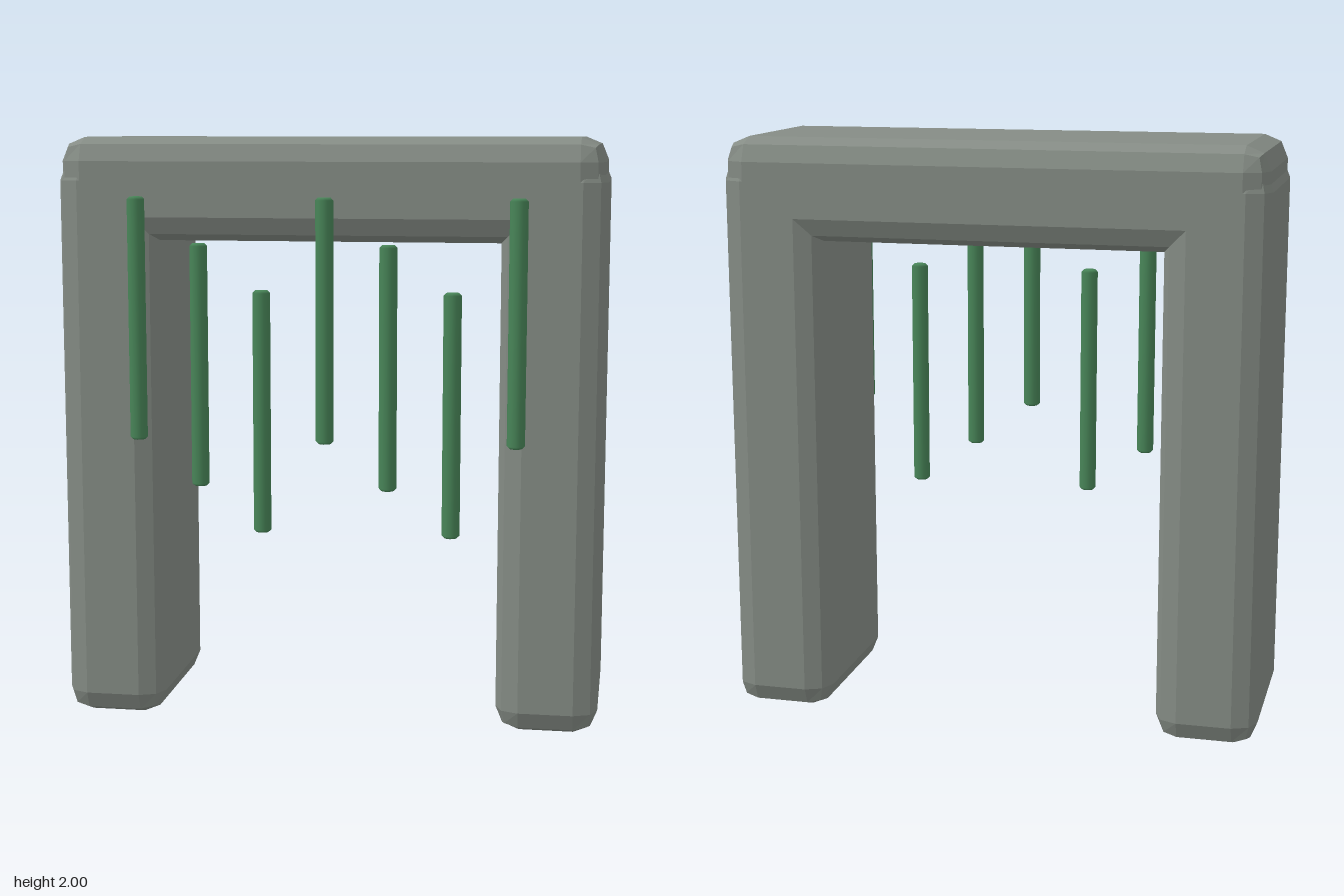
import * as THREE from 'three';
import { RoundedBoxGeometry } from 'three/addons/geometries/RoundedBoxGeometry.js';

export function createModel() {
  const model = new THREE.Group();
  model.name = 'stoneArch';
  const stone = new THREE.MeshStandardMaterial({ color: 0x858c85, flatShading: true });
  const leaf = new THREE.MeshStandardMaterial({ color: 0x488558 });

  const depth = 0.67, midZ = -0.03, bevel = 0.08;

  // Bevelled stone block spanning y0..y1
  function block(name, width, y0, y1, x) {
    const mesh = new THREE.Mesh(new RoundedBoxGeometry(width, y1 - y0, depth, 1, bevel), stone);
    mesh.position.set(x, (y0 + y1) / 2, midZ);
    mesh.name = name;
    model.add(mesh);
  }

  // Two pillars and the lintel that caps them
  block('leftPillar', 0.345, 0, 1.935, 0.75);
  block('rightPillar', 0.345, 0, 1.935, -0.75);
  block('lintel', 1.825, 1.655, 2, 0);

  // Hanging vines: slim rods with chamfered ends, stepping down in threes
  const length = 0.815, r = 0.03, c = 0.009;
  const profile = [[0, 0], [r - c, 0], [r, c], [r, length - c], [r - c, length], [0, length]]
    .map(([px, py]) => new THREE.Vector2(px, py));
  const vineGeometry = new THREE.LatheGeometry(profile, 12);
  const vines = new THREE.Group();
  vines.name = 'vines';
  for (let i = 0; i < 7; i++) {
    const vine = new THREE.Mesh(vineGeometry, leaf);
    vine.position.set(0.005 + (i - 3) * 0.212, 0.99 - (i % 3) * 0.153, 0.335);
    vine.name = `vine${i + 1}`;
    vines.add(vine);
  }
  model.add(vines);
  return model;
}
